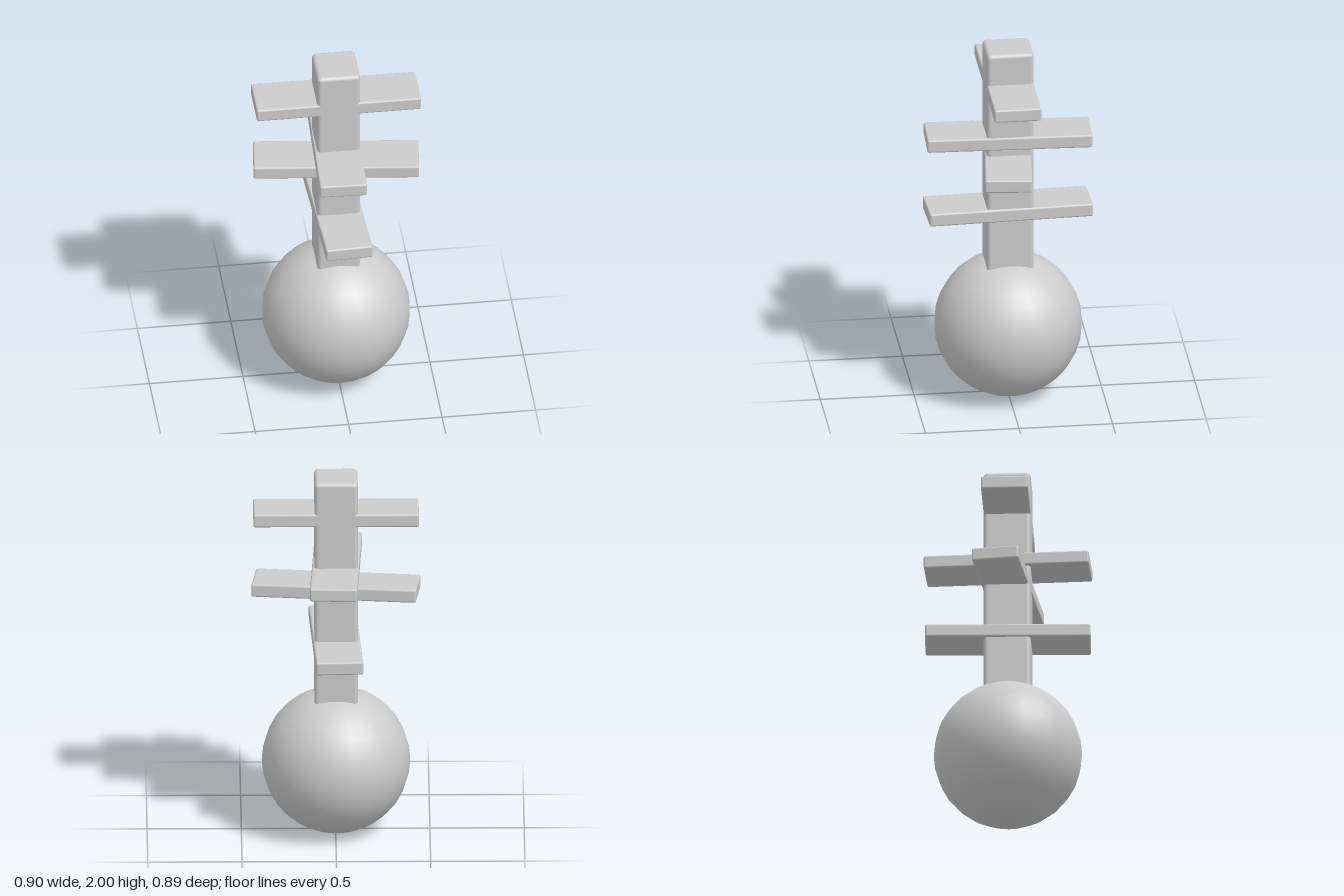
import * as THREE from 'three';
import { RoundedBoxGeometry } from 'three/addons/geometries/RoundedBoxGeometry.js';

export function createModel() {
  const model = new THREE.Group();
  const material = new THREE.MeshStandardMaterial({ color: 0xcccccc });
  const cx = -0.002, cz = -0.003;

  const add = (name, geometry, y, turn = 0) => {
    const mesh = new THREE.Mesh(geometry, material);
    mesh.name = name;
    mesh.position.set(cx, y, cz);
    mesh.rotation.y = turn;
    model.add(mesh);
  };

  // Ball base
  add('ballBase', new THREE.SphereGeometry(0.394, 24, 16), 0.395);

  // Square post, its foot sunk into the ball
  const postBottom = 0.64, postTop = 2;
  add('post', new RoundedBoxGeometry(0.23, postTop - postBottom, 0.25, 3, 0.022), (postBottom + postTop) / 2);

  // Crossbars through the post, alternating direction: [height, turn]
  const crossbar = new RoundedBoxGeometry(0.878, 0.072, 0.25, 2, 0.01);
  const quarter = Math.PI / 2;
  [
    [1.79, 0],
    [1.485, quarter - 0.038],
    [1.378, -0.115],
    [1.07, quarter + 0.038],
  ].forEach(([y, turn], i) => add(`crossbar${i + 1}`, crossbar, y, turn));

  return model;
}
